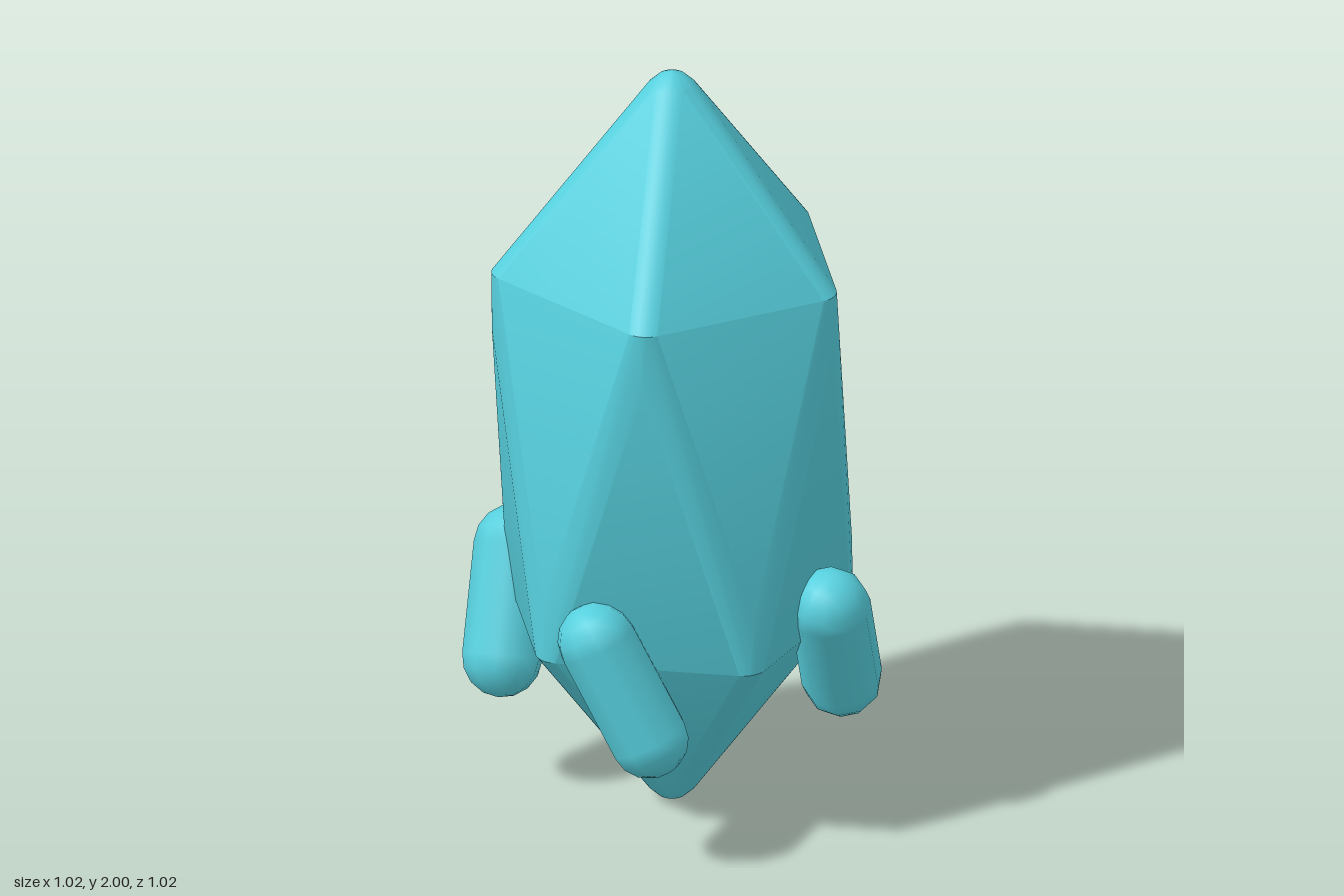
import * as THREE from 'three';
import { ConvexGeometry } from 'three/addons/geometries/ConvexGeometry.js';
import { toCreasedNormals } from 'three/addons/utils/BufferGeometryUtils.js';

const teal = new THREE.MeshStandardMaterial({ color: 0x56cfdd });
teal.name = 'teal crystal';

// Tall twenty-sided crystal with softened ridges; the lower half mirrors the upper through its centre
function crystalGeometry() {
  const ringRadius = 0.47, ringY = 0.475, fillet = 0.06, steps = 6;
  const points = [];
  const add = (radius, angle, y, cx = 0, cz = 0) => {
    const p = new THREE.Vector3(cx + radius * Math.cos(angle), y, cz + radius * Math.sin(angle));
    points.push(p, p.clone().negate());
  };
  const cornerCentre = ringRadius - fillet / Math.cos(Math.PI / 5);
  for (let i = 0; i < 5; i++) {
    const a = (i * Math.PI * 2) / 5;
    // rounded corner of the shoulder ring
    for (let s = 0; s <= steps; s++) {
      const b = a + (s / steps - 0.5) * (Math.PI * 2 / 5);
      add(fillet, b, ringY, cornerCentre * Math.cos(a), cornerCentre * Math.sin(a));
    }
    // short upright edge under each corner
    add(0.455, a, 0.325);
  }
  // small domed tip
  const around = 5 * steps;
  for (let i = 0; i < around; i++) {
    const a = ((i / around) - 0.1) * Math.PI * 2;
    add(0.06, a, 0.964);
    add(0.034, a, 0.988);
  }
  add(0, 0, 1);
  return toCreasedNormals(new ConvexGeometry(points), 0.5);
}

// Leaning pebble-shaped bud between two end centres
function createBud() {
  const top = new THREE.Vector3(0.15, 0.61, 0.41);
  const bottom = new THREE.Vector3(0.26, 0.36, 0.34);
  const axis = top.clone().sub(bottom);
  const bud = new THREE.Mesh(new THREE.CapsuleGeometry(0.102, axis.length(), 4, 10), teal);
  bud.position.copy(top).add(bottom).multiplyScalar(0.5);
  bud.quaternion.setFromUnitVectors(new THREE.Vector3(0, 1, 0), axis.normalize());
  bud.name = 'bud';
  return bud;
}

export function createModel() {
  const model = new THREE.Group();
  model.name = 'crystal';

  const body = new THREE.Mesh(crystalGeometry(), teal);
  body.name = 'crystalBody';
  body.position.y = 1;
  model.add(body);

  // four buds spaced a quarter turn apart
  for (let i = 0; i < 4; i++) {
    const holder = new THREE.Group();
    holder.name = `budHolder${i + 1}`;
    holder.rotation.y = (i * Math.PI) / 2;
    holder.add(createBud());
    model.add(holder);
  }
  return model;
}
